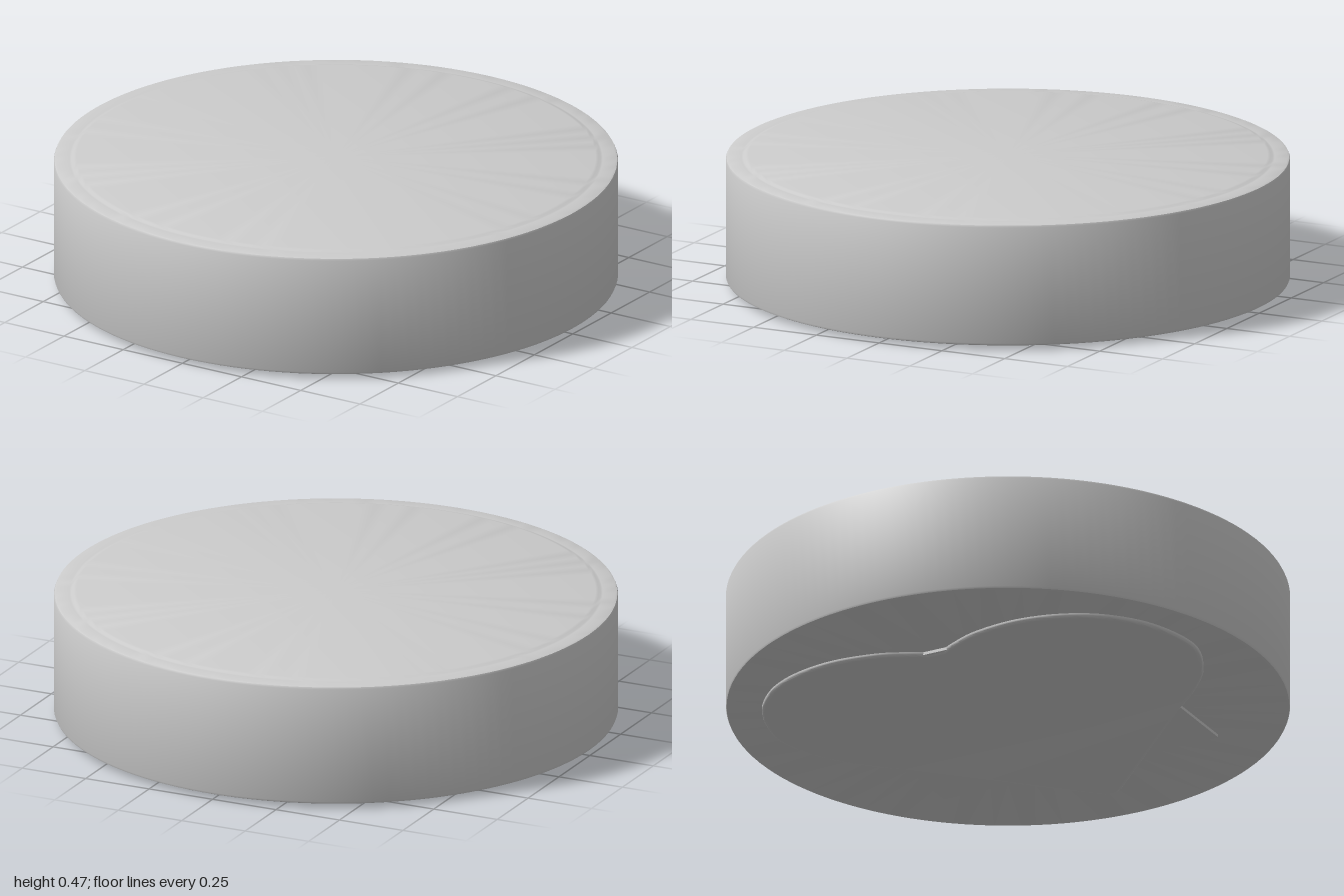
import * as THREE from 'three';
import { toCreasedNormals } from 'three/addons/utils/BufferGeometryUtils.js';

const material = new THREE.MeshStandardMaterial({ color: 0xcccccc });

function part(name, geometry, crease = 0.6) {
  const mesh = new THREE.Mesh(toCreasedNormals(geometry, crease), material);
  mesh.name = name;
  return mesh;
}

// Flat plate whose outline lies in x/z and whose lower face sits at the given height
function plate(shape, bottom, bevel) {
  const depth = 0.02;
  const geometry = new THREE.ExtrudeGeometry(shape, {
    depth, bevelEnabled: bevel > 0, bevelThickness: bevel, bevelSize: bevel,
    bevelOffset: -bevel, bevelSegments: 4, curveSegments: 16,
  });
  geometry.rotateX(Math.PI / 2);
  geometry.translate(0, bottom + depth + bevel, 0);
  return geometry;
}

// Heart pointing to +x: one half is drawn, the other is its mirror
function heartShape() {
  const lobe = [
    [0.27, 0.55], [0.17, 0.66], [0.03, 0.77], [-0.16, 0.835], [-0.37, 0.79],
    [-0.52, 0.68], [-0.605, 0.54], [-0.64, 0.37], [-0.62, 0.2], [-0.575, 0.09], [-0.54, 0.03],
  ].map(([x, z]) => new THREE.Vector2(x, z));
  const half = [
    new THREE.Vector2(0.79, 0), new THREE.Vector2(0.783, 0.025), new THREE.Vector2(0.765, 0.05),
    ...new THREE.SplineCurve(lobe).getPoints(60),
  ];
  const mirrored = half.slice(1).reverse().map((p) => new THREE.Vector2(p.x, -p.y));
  return new THREE.Shape([...half, ...mirrored]);
}

function squareShape(h) {
  return new THREE.Shape([[-h, -h], [h, -h], [h, h], [-h, h]].map(([x, z]) => new THREE.Vector2(x, z)));
}

export function createModel() {
  const group = new THREE.Group();
  group.name = 'roundDisc';

  // Drum with softened rims and a slightly raised top panel
  const profile = [
    [0, 0.016], [0.99, 0.016], [0.997, 0.019], [1, 0.026],
    [1, 0.448], [0.997, 0.455], [0.99, 0.458],
    [0.945, 0.458], [0.938, 0.459], [0.93, 0.463], [0.92, 0.465], [0, 0.465],
  ].map(([r, y]) => new THREE.Vector2(r, y));
  group.add(part('discBody', new THREE.LatheGeometry(profile, 128)));

  // Square plate under the disc, its corners showing beside the heart
  group.add(part('squarePlate', plate(squareShape(0.55), 0.005, 0)));

  // Heart with rounded lower edge
  group.add(part('heartPlate', plate(heartShape(), 0, 0.012)));

  return group;
}
